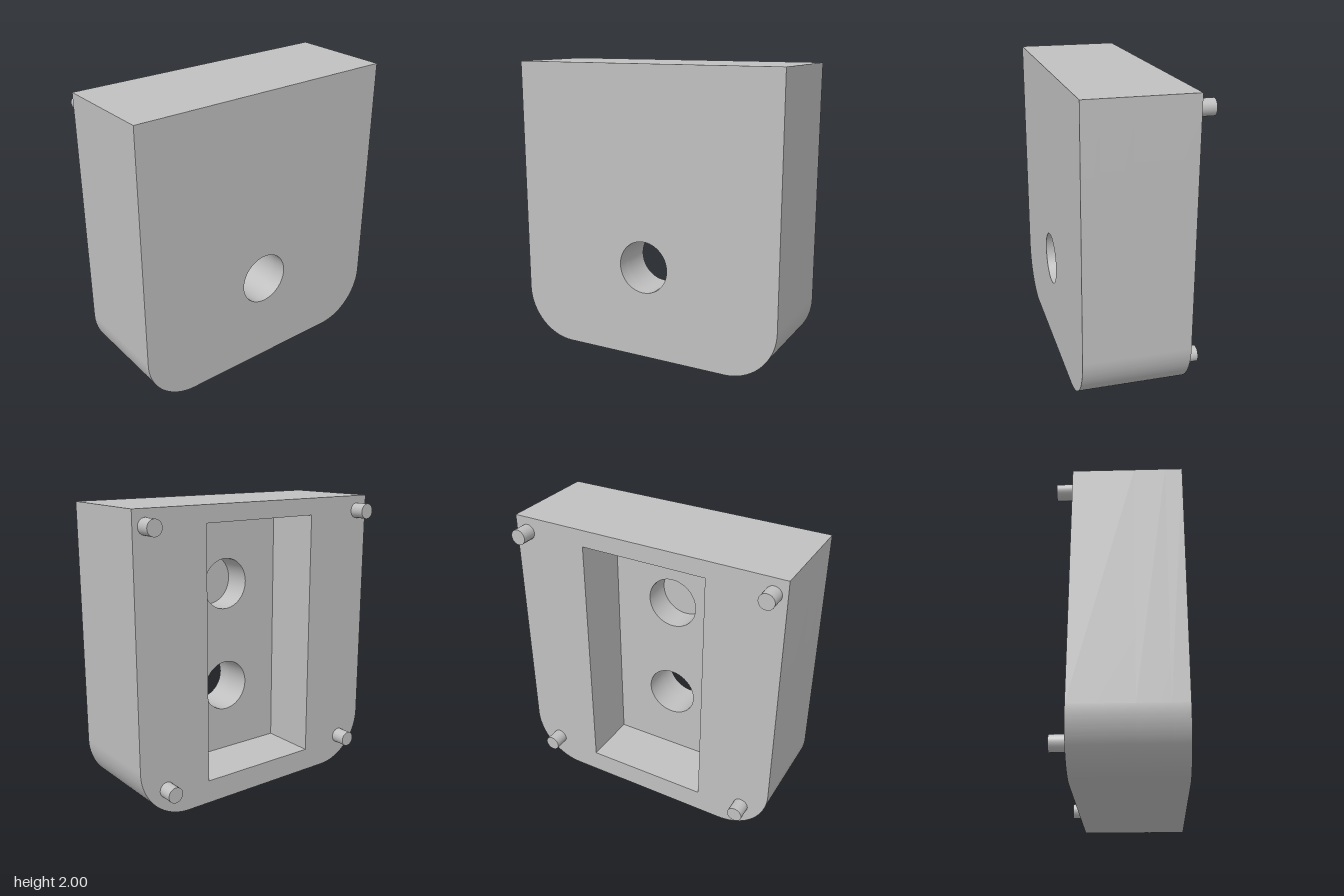
import * as THREE from 'three';
import { toCreasedNormals } from 'three/addons/utils/BufferGeometryUtils.js';

const HALF = 0.965, TOP = 2, CORNER = 0.36;   // housing outline
const BACK = -0.305, FLOOR = 0.095, BLIND = 0.295, FACE = 0.405; // layers along x

// Square top, rounded bottom corners
function outline() {
  const s = new THREE.Shape();
  s.moveTo(-HALF, TOP);
  s.lineTo(-HALF, CORNER);
  s.absarc(-HALF + CORNER, CORNER, CORNER, Math.PI, Math.PI * 1.5, false);
  s.lineTo(HALF - CORNER, 0);
  s.absarc(HALF - CORNER, CORNER, CORNER, Math.PI * 1.5, Math.PI * 2, false);
  s.lineTo(HALF, TOP);
  s.closePath();
  return s;
}

function roundHole(y, r) {
  return new THREE.Path().absarc(0, y, r, 0, Math.PI * 2, true);
}

function rectHole(halfWidth, y0, y1) {
  const p = new THREE.Path();
  p.moveTo(-halfWidth, y0);
  p.lineTo(-halfWidth, y1);
  p.lineTo(halfWidth, y1);
  p.lineTo(halfWidth, y0);
  p.closePath();
  return p;
}

export function createModel() {
  const group = new THREE.Group();
  const grey = new THREE.MeshStandardMaterial({ color: 0xc0c0c0 });
  grey.name = 'grey';

  // One slab of the housing between two x positions
  function layer(name, x0, x1, holes) {
    const shape = outline();
    shape.holes.push(...holes);
    const extruded = new THREE.ExtrudeGeometry(shape, { depth: x1 - x0, bevelEnabled: false, curveSegments: 32 });
    const geo = toCreasedNormals(extruded, 0.5);
    geo.rotateY(Math.PI / 2);
    geo.translate(x0, 0, 0);
    const mesh = new THREE.Mesh(geo, grey);
    mesh.name = name;
    group.add(mesh);
  }

  // Housing: open pocket, floor with a through hole and a blind hole, outer face
  layer('pocketFrame', BACK, FLOOR, [rectHole(0.44, 0.16, 1.885)]);
  layer('pocketFloor', FLOOR, BLIND, [roundHole(0.645, 0.18), roundHole(1.4, 0.18)]);
  layer('outerFace', BLIND, FACE, [roundHole(0.645, 0.18)]);

  // Four locating pegs
  const pegGeo = new THREE.CylinderGeometry(0.053, 0.053, 0.13, 32);
  pegGeo.rotateZ(Math.PI / 2);
  for (const [label, y, z] of [['upper', 1.895, 0.876], ['lower', 0.195, 0.772]]) {
    for (const side of [-1, 1]) {
      const peg = new THREE.Mesh(pegGeo, grey);
      peg.name = `${label}${side > 0 ? 'Front' : 'Back'}Peg`;
      peg.position.set(-0.345, y, side * z);
      group.add(peg);
    }
  }
  return group;
}
